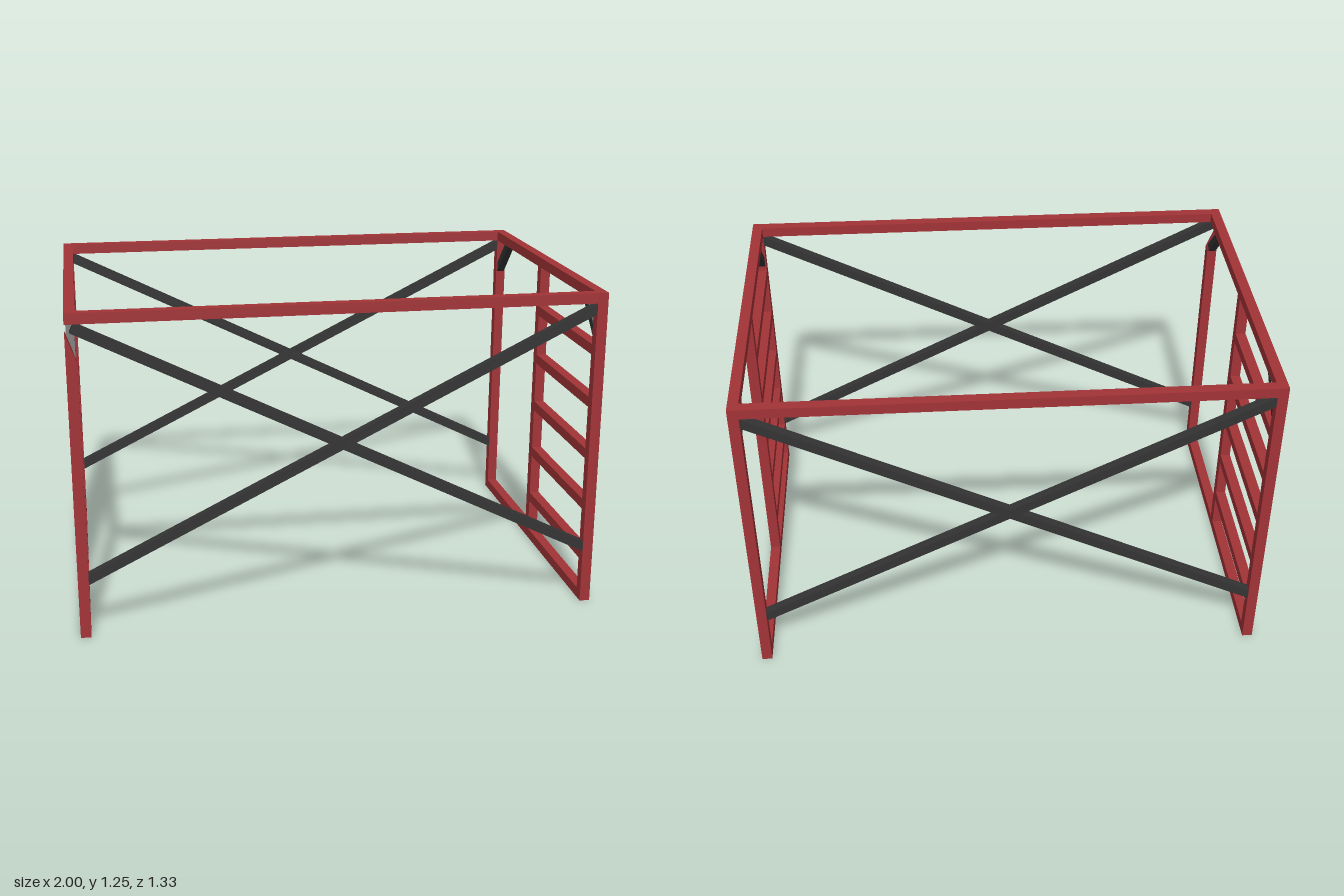
import * as THREE from 'three';

export function createModel() {
  const model = new THREE.Group();
  const red = new THREE.MeshStandardMaterial({ color: 0xa23337 });
  red.name = 'red paint';
  const dark = new THREE.MeshStandardMaterial({ color: 0x343434 });
  dark.name = 'dark steel';

  const X = 1, Z = 0.665, H = 1.25, T = 0.04;

  // Box given by its lower and upper corners
  function box(name, [x0, y0, z0], [x1, y1, z1], parent = model) {
    const mesh = new THREE.Mesh(new THREE.BoxGeometry(x1 - x0, y1 - y0, z1 - z0), red);
    mesh.position.set((x0 + x1) / 2, (y0 + y1) / 2, (z0 + z1) / 2);
    mesh.name = name;
    parent.add(mesh);
  }

  // Square bar running between two points
  function bar(name, a, b, size, parent = model) {
    const from = new THREE.Vector3(...a), to = new THREE.Vector3(...b);
    const mesh = new THREE.Mesh(new THREE.BoxGeometry(size, size, from.distanceTo(to)), dark);
    mesh.position.copy(from).add(to).multiplyScalar(0.5);
    mesh.lookAt(to);
    mesh.name = name;
    parent.add(mesh);
  }

  // Two end frames, the second turned half round
  for (const turned of [false, true]) {
    const end = new THREE.Group();
    end.name = turned ? 'rightEndFrame' : 'leftEndFrame';
    end.rotation.y = turned ? Math.PI : 0;
    model.add(end);

    box('topRail', [X - T, H - T, -Z], [X, H, Z], end);
    box('bottomRail', [X - T, 0, -Z + T], [X, T, Z - T], end);
    box('ladderCornerPost', [X - T, 0, Z - T], [X, H - T, Z], end);
    box('middlePost', [X - T, T, -T], [X, H - T, 0], end);

    // The open corner post; one of them is cut on a slant below the rail
    if (turned) {
      const outline = new THREE.Shape([
        [X - T, 0], [X, 0], [X, 1.18], [X - T, 1.07],
      ].map(([x, y]) => new THREE.Vector2(x, y)));
      const geometry = new THREE.ExtrudeGeometry(outline, { depth: T, bevelEnabled: false });
      const post = new THREE.Mesh(geometry, red);
      post.position.z = -Z;
      post.name = 'cutCornerPost';
      end.add(post);
    } else {
      box('openCornerPost', [X - T, 0, -Z], [X, H - T, -Z + T], end);
    }

    // Ladder rungs
    for (let i = 0; i < 5; i++) {
      const y = 0.19 + i * 0.2087;
      box('rung', [X - T, y - T / 2, 0], [X, y + T / 2, Z - T], end);
    }

    // Corner knees
    for (const s of [-1, 1]) {
      bar('kneeBrace', [X - T / 2, 1.073, s * 0.64], [X - T / 2, 1.218, s * 0.495], 0.031, end);
    }
  }

  // Long top rails and crossed braces on both long sides
  for (const s of [-1, 1]) {
    const z = s * (Z - T / 2);
    box('longTopRail', [-X + T, H - T, z - T / 2], [X - T, H, z + T / 2]);
    for (const d of [-1, 1]) {
      bar('crossBrace', [-0.975 * d, 1.195, z], [0.975 * d, 0.225, z], 0.036);
    }
  }

  return model;
}
